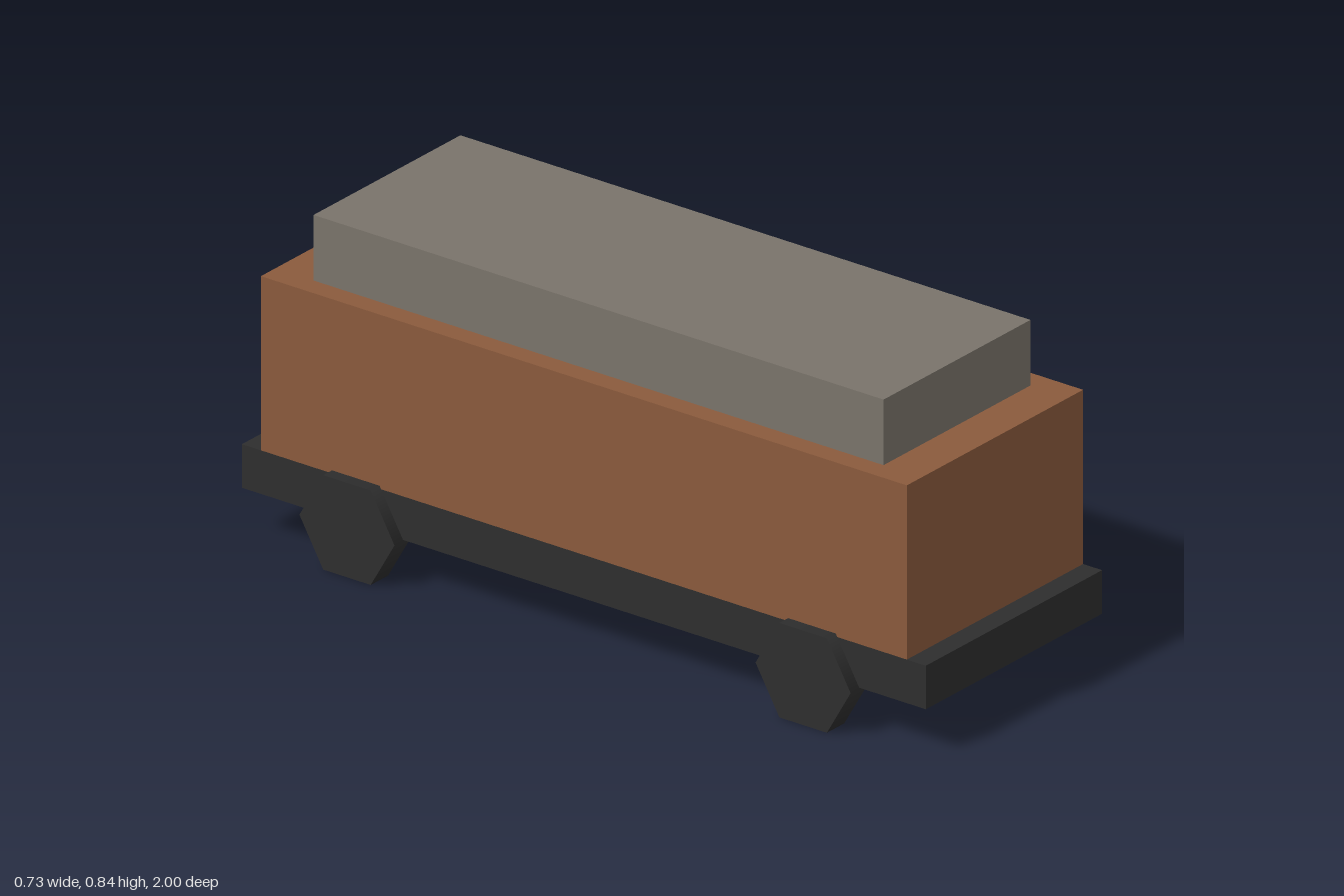
import * as THREE from 'three';

export function createModel() {
  const group = new THREE.Group();
  const material = (name, color) => {
    const m = new THREE.MeshStandardMaterial({ color });
    m.name = name;
    return m;
  };
  const brown = material('brown', 0x8a5a3c);
  const grey = material('warm grey', 0x79736a);
  const black = material('charcoal', 0x2e2e2e);

  const add = (name, geometry, mat, x, y, z) => {
    const mesh = new THREE.Mesh(geometry, mat);
    mesh.name = name;
    mesh.position.set(x, y, z);
    group.add(mesh);
  };
  // Centred box spanning from y0 to y1
  const addBox = (name, mat, width, y0, y1, depth) =>
    add(name, new THREE.BoxGeometry(width, y1 - y0, depth), mat, 0, (y0 + y1) / 2, 0);

  // Stacked wagon: chassis, body, roof
  addBox('chassis', black, 0.667, 0.122, 0.233, 2);
  addBox('body', brown, 0.667, 0.233, 0.677, 1.889);
  addBox('roof', grey, 0.556, 0.677, 0.844, 1.667);

  // Six-sided wheels, flat side down
  const wheel = new THREE.CylinderGeometry(0.139, 0.139, 0.066, 6).rotateZ(Math.PI / 2);
  for (const [side, x] of [['left', 0.334], ['right', -0.334]])
    for (const [end, z] of [['Front', 0.667], ['Back', -0.667]])
      add(`${side}${end}Wheel`, wheel, black, x, 0.1204, z);

  return group;
}
